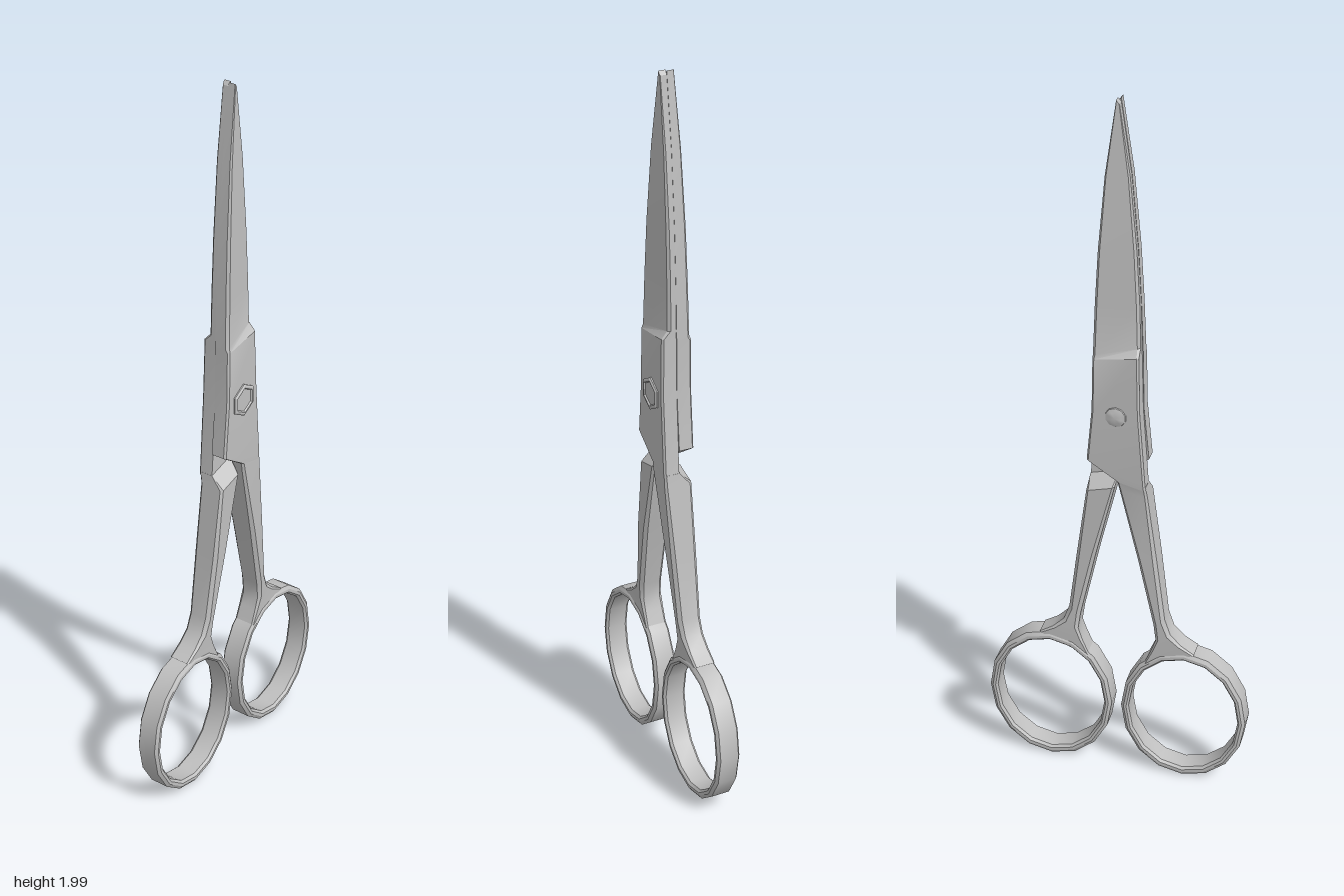
import * as THREE from 'three';
import { toCreasedNormals } from 'three/addons/utils/BufferGeometryUtils.js';

const steel = new THREE.MeshStandardMaterial({ color: 0xc0c0c0 });
steel.name = 'steel';

function part(name, geometry, crease = 0.5) {
  const mesh = new THREE.Mesh(toCreasedNormals(geometry, crease), steel);
  mesh.name = name;
  return mesh;
}

// Skin a list of sections, from top to bottom. Each section is
// [y at x0, y at x1, x0, x1, z0, z1, front chamfer, back chamfer, drop of the front face at x1]
function loft(rows) {
  const n = 8, pos = [], index = [];
  for (const [y0, y1, x0, x1, z0, z1, c, b, drop] of rows) {
    const section = [
      [x0 + b, z0], [x1 - b, z0], [x1, z0 + b], [x1, z1 - drop - c],
      [x1 - c, z1 - drop], [x0 + c, z1], [x0, z1 - c], [x0, z0 + b],
    ];
    for (const [x, z] of section) pos.push(x, y0 + (y1 - y0) * (x - x0) / (x1 - x0), z);
  }
  const last = (rows.length - 1) * n;
  for (let r = 0; r < last; r += n) {
    for (let j = 0; j < n; j++) {
      const k = (j + 1) % n;
      index.push(r + j, r + k, r + n + k, r + j, r + n + k, r + n + j);
    }
  }
  for (let j = 1; j < n - 1; j++) index.push(0, j + 1, j, last, last + j, last + j + 1);
  const g = new THREE.BufferGeometry();
  g.setAttribute('position', new THREE.Float32BufferAttribute(pos, 3));
  g.setIndex(index);
  return g;
}

// Faceted finger loop, chamfered on both faces
function fingerLoop() {
  const profile = [
    [0.181, -0.0325], [0.19, -0.026], [0.19, 0.026], [0.181, 0.0325],
    [0.173, 0.0325], [0.167, 0.026], [0.167, -0.026], [0.173, -0.0325], [0.181, -0.0325],
  ].map(([r, h]) => new THREE.Vector2(r, h));
  const g = new THREE.LatheGeometry(profile, 16);
  g.rotateX(Math.PI / 2);
  g.scale(0.915, 1.105, 1);
  return g;
}

// One half of the scissors; the back half is turned about y, so its handle depths are swapped
function half(name, isBack) {
  const group = new THREE.Group();
  group.name = name;
  const depth = (back, front) => (isBack ? [-front, -back] : [back, front]);

  group.add(part(name + 'Blade', loft([
    [1.995, 1.985, -0.004, 0.004, 0, 0.019, 0.001, 0, 0.001],
    [1.8, 1.8, -0.031, 0.030, 0, 0.027, 0.004, 0, 0.008],
    [1.6, 1.6, -0.048, 0.047, 0, 0.033, 0.006, 0, 0.013],
    [1.45, 1.45, -0.056, 0.055, 0, 0.036, 0.007, 0, 0.015],
    [1.31, 1.335, -0.061, 0.058, 0, 0.038, 0.007, 0, 0.016],
    [1.3, 1.315, -0.061, 0.058, 0, 0.042, 0.005, 0, 0.003],
    [1.15, 1.15, -0.064, 0.062, 0, 0.042, 0.005, 0, 0],
    [1.0, 0.94, -0.078, 0.077, 0, 0.042, 0.005, 0, 0],
    [0.945, 0.925, 0.002, 0.079, 0, 0.041, 0.005, 0, 0],
  ])));

  const topZ = [-0.035, isBack ? 0.035 : 0.041];
  group.add(part(name + 'Shank', loft([
    [0.955, 0.935, 0, 0.078, 0, 0.041, 0.005, 0, 0],
    [0.92, 0.9, 0.006, 0.082, ...depth(...topZ), 0.006, 0.006, 0],
    [0.7, 0.7, 0.058, 0.109, ...depth(-0.038, 0.034), 0.009, 0.009, 0],
    [0.5, 0.52, 0.101, 0.132, ...depth(-0.039, 0.026), 0.009, 0.009, 0],
    [0.45, 0.475, 0.108, 0.148, ...depth(-0.04, 0.023), 0.008, 0.008, 0],
    [0.415, 0.445, 0.096, 0.178, ...depth(-0.04, 0.021), 0.006, 0.006, 0],
    [0.365, 0.422, 0.075, 0.215, ...depth(-0.039, 0.02), 0.004, 0.004, 0],
  ])));

  const loop = part(name + 'FingerLoop', fingerLoop());
  loop.position.set(0.187, 0.215, isBack ? 0.0095 : -0.0095);
  group.add(loop);

  if (isBack) group.rotation.y = Math.PI;
  return group;
}

export function createModel() {
  const model = new THREE.Group();
  model.name = 'scissors';
  model.add(half('front', false), half('back', true));

  // Six-sided pivot screw with a recessed face
  const screwProfile = [[0.046, 0], [0.046, 0.006], [0.041, 0.009], [0.036, 0.009], [0.033, 0.005], [0, 0.005]]
    .map(([r, h]) => new THREE.Vector2(r, h));
  const screw = part('pivotScrew', new THREE.LatheGeometry(screwProfile, 6).rotateX(Math.PI / 2));
  screw.position.set(0, 1.14, 0.039);
  model.add(screw);

  // Low domed rivet on the back
  const rivetProfile = [[0.029, 0], [0.027, 0.005], [0.016, 0.009], [0, 0.011]]
    .map(([r, h]) => new THREE.Vector2(r, h));
  const rivet = part('pivotRivet', new THREE.LatheGeometry(rivetProfile, 10).rotateX(-Math.PI / 2), 0.8);
  rivet.position.set(0, 1.14, -0.04);
  model.add(rivet);

  // Stand the finger loops exactly on the ground
  const box = new THREE.Box3().setFromObject(model);
  model.position.y = -box.min.y;
  return model;
}
